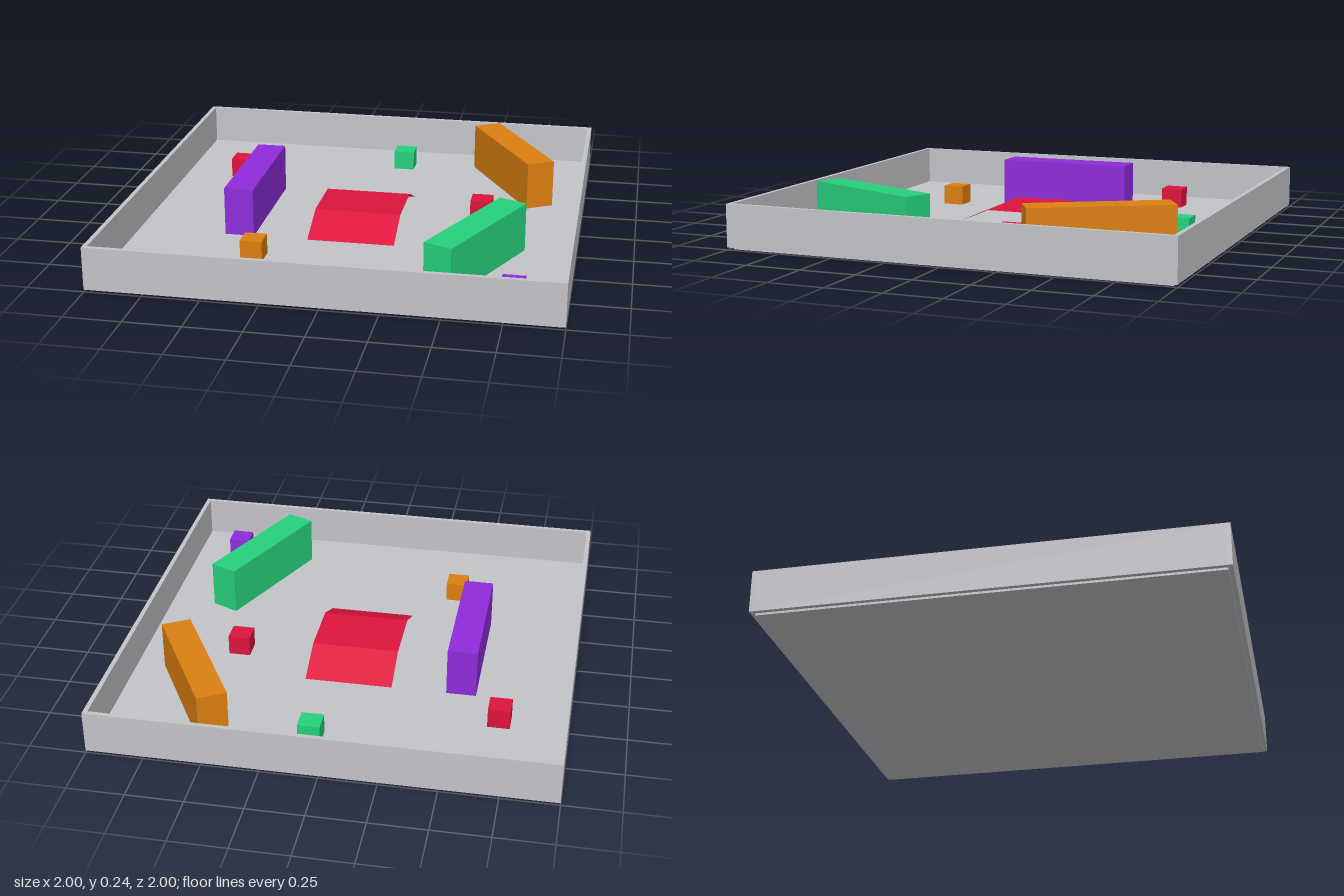
import * as THREE from 'three';

const material = (name, color, extra = {}) => {
  const m = new THREE.MeshStandardMaterial({ color, ...extra });
  m.name = name;
  return m;
};

export function createModel() {
  const group = new THREE.Group();
  const grey = material('grey', 0xc3c4c8);
  const red = material('red', 0xdc143c, { side: THREE.DoubleSide });
  const green = material('green', 0x26d07c);
  const orange = material('orange', 0xdb7f10);
  const purple = material('purple', 0x8f2cdb);

  // Box standing on height y, turned about the vertical axis
  const box = (name, mat, w, h, d, x, y, z, turn = 0) => {
    const mesh = new THREE.Mesh(new THREE.BoxGeometry(w, h, d), mat);
    mesh.name = name;
    mesh.position.set(x, y + h / 2, z);
    mesh.rotation.y = turn;
    group.add(mesh);
  };

  // Tray floor and rim walls
  const floorTop = 0.02;
  box('floor', grey, 1.96, floorTop, 1.96, 0, 0, 0);
  for (const s of [-1, 1]) {
    box(s > 0 ? 'frontWall' : 'backWall', grey, 2, 0.19, 0.02, 0, 0.01, s * 0.99);
    box(s > 0 ? 'leftWall' : 'rightWall', grey, 0.02, 0.19, 1.96, s * 0.99, 0.01, 0);
  }

  // Tall barriers
  const barriers = [
    ['purpleBarrier', purple, -0.51, 0, 0],
    ['orangeBarrier', orange, 0.64, -0.56, 0.52],
    ['greenBarrier', green, 0.585, 0.517, -0.42],
  ];
  for (const [name, mat, x, z, turn] of barriers) {
    box(name, mat, 0.133, 0.22, 0.627, x, floorTop, z, turn);
  }

  // Small cubes
  const cubes = [
    ['greenCube', green, 0.08, -0.75],
    ['redCubeBack', red, -0.7, -0.49],
    ['redCubeLeft', red, 0.54, -0.12],
    ['orangeCube', orange, -0.385, 0.545],
    ['purpleCube', purple, 0.77, 0.795],
  ];
  for (const [name, mat, x, z] of cubes) {
    box(name, mat, 0.098, 0.09, 0.098, x, floorTop, z);
  }

  // Ramp: a sheet folded into slope, flat top and slope
  let sheet = new THREE.PlaneGeometry(0.394, 0.63, 1, 3).rotateX(-Math.PI / 2);
  const p = sheet.attributes.position;
  for (let i = 0; i < p.count; i++) {
    const inner = Math.abs(p.getZ(i)) < 0.2;
    p.setY(i, inner ? 0.1 : floorTop);
    if (inner) p.setZ(i, Math.sign(p.getZ(i)) * 0.137);
  }
  sheet = sheet.toNonIndexed();
  sheet.computeVertexNormals();
  const ramp = new THREE.Mesh(sheet, red);
  ramp.name = 'ramp';
  group.add(ramp);

  return group;
}
